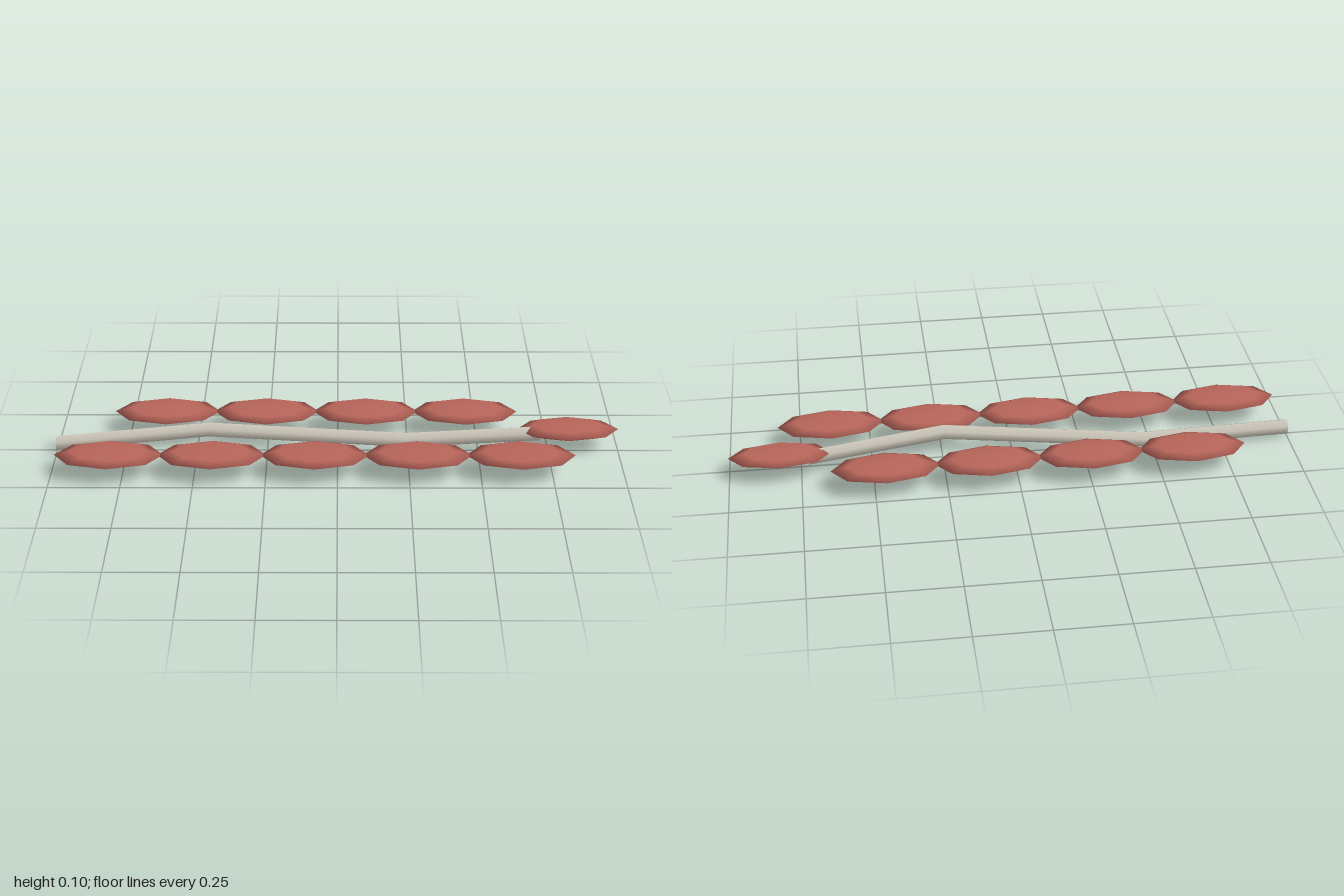
import * as THREE from 'three';

const leafRed = new THREE.MeshStandardMaterial({ color: 0xb8655a });
leafRed.name = 'leafRed';
const stemGrey = new THREE.MeshStandardMaterial({ color: 0xcfc9bc });
stemGrey.name = 'stemGrey';

// Bent six-sided stem: each ring of a cylinder is moved onto its path point
function makeStem() {
  const path = [
    [-1.0, 0.0285, 0.0],
    [-0.46, 0.053, -0.055],
    [0.24, 0.073, 0.05],
    [0.72, 0.055, -0.027],
  ];
  const last = path.length - 1;
  const geo = new THREE.CylinderGeometry(0.0285, 0.0285, last, 6, last, false, Math.PI / 2);
  geo.rotateZ(-Math.PI / 2);
  const pos = geo.attributes.position;
  for (let i = 0; i < pos.count; i++) {
    const [x, y, z] = path[Math.round(pos.getX(i) + last / 2)];
    pos.setXYZ(i, x, pos.getY(i) + y, pos.getZ(i) + z);
  }
  const stem = new THREE.Mesh(geo, stemGrey);
  stem.name = 'stem';
  return stem;
}

export function createModel() {
  const group = new THREE.Group();
  group.name = 'leafyBranch';
  group.add(makeStem());

  // Flattened eight-sided leaflets
  const leafGeo = new THREE.SphereGeometry(1, 8, 4);
  const addLeaf = (name, x, z, halfLength, halfWidth) => {
    const leaf = new THREE.Mesh(leafGeo, leafRed);
    leaf.name = name;
    leaf.position.set(x, 0.0725, z);
    leaf.scale.set(halfLength, 0.0225, halfWidth);
    group.add(leaf);
  };

  // Two staggered rows beside the stem, and one leaflet at the tip
  const spacing = 0.358;
  for (let i = 0; i < 5; i++) addLeaf(`frontLeaf${i + 1}`, -0.795 + i * spacing, 0.152, 0.19, 0.095);
  for (let i = 0; i < 4; i++) addLeaf(`backLeaf${i + 1}`, -0.615 + i * spacing, -0.152, 0.19, 0.095);
  addLeaf('tipLeaf', 0.82, -0.028, 0.18, 0.082);

  return group;
}
